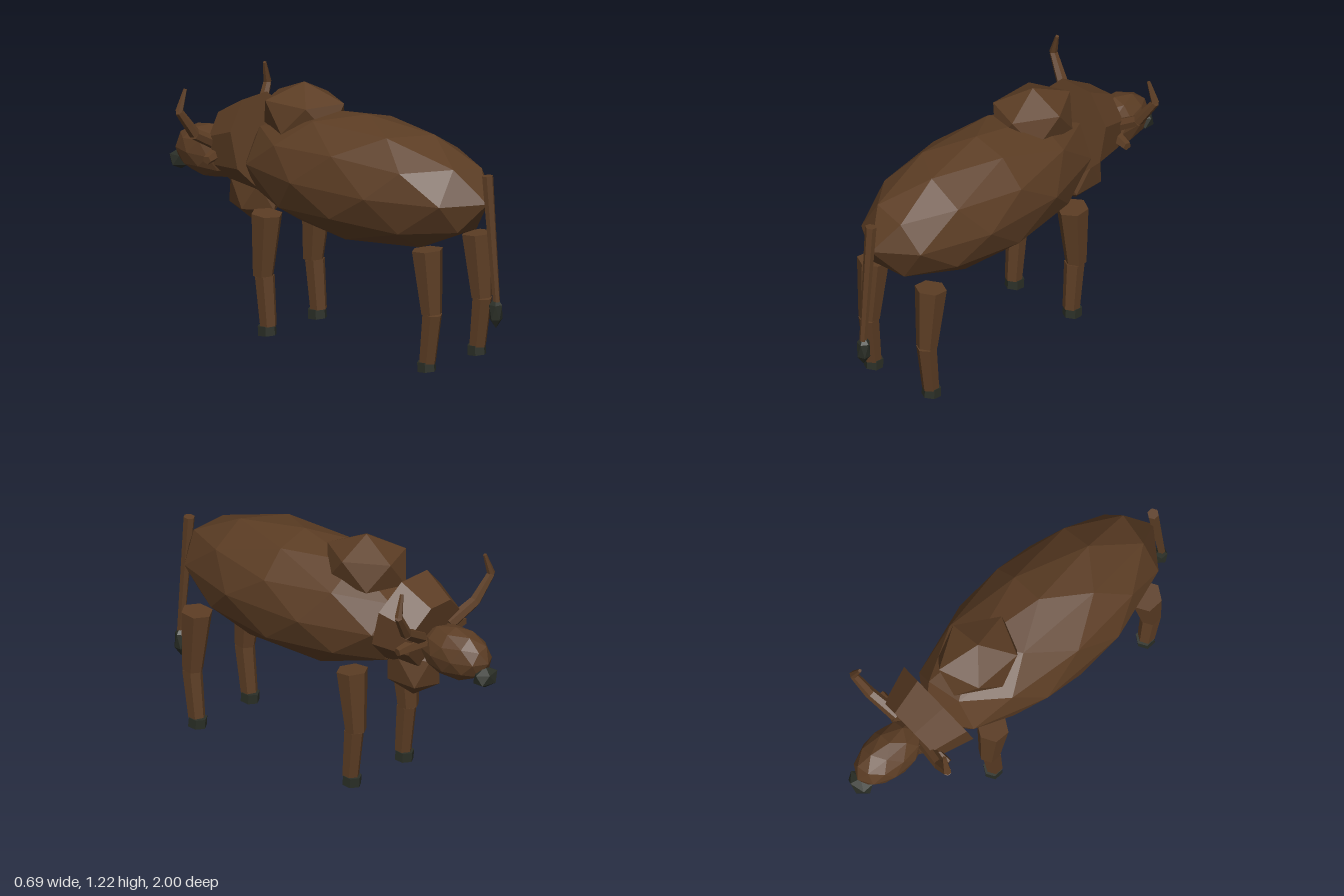
import * as THREE from 'three';

const V = (p) => new THREE.Vector3(...p);

export function createModel() {
  const model = new THREE.Group();
  const hide = new THREE.MeshStandardMaterial({ color: 0x5c3d24, flatShading: true });
  hide.name = 'brown hide';
  const horny = new THREE.MeshStandardMaterial({ color: 0x2a2e26, flatShading: true });
  horny.name = 'dark hoof';

  function add(name, geometry, material, parent = model) {
    const mesh = new THREE.Mesh(geometry, material);
    mesh.name = name;
    parent.add(mesh);
    return mesh;
  }

  // Faceted ball with a corner at the top, stretched to the given radii
  function ball(name, center, radii, detail, material = hide) {
    const g = new THREE.IcosahedronGeometry(1, detail);
    g.rotateX(-Math.atan2(0.85065, 0.52573));
    g.rotateY(Math.PI / 2);
    g.scale(...radii);
    g.translate(...center);
    return add(name, g, material);
  }

  // Tapered faceted limb from point a to point b
  function limb(name, a, b, ra, rb, sides, material = hide, parent = model, roll = 0) {
    const from = V(a), to = V(b);
    const dir = to.clone().sub(from);
    const g = new THREE.CylinderGeometry(rb, ra, dir.length(), sides, 1, false, roll);
    const mesh = add(name, g, material, parent);
    mesh.position.copy(from).add(to).multiplyScalar(0.5);
    mesh.quaternion.setFromUnitVectors(new THREE.Vector3(0, 1, 0), dir.normalize());
    return mesh;
  }

  // Trunk, hump and neck
  ball('body', [0, 0.818, 0.19], [0.326, 0.312, 0.73], 1);
  ball('hump', [0, 1.066, -0.2], [0.195, 0.154, 0.235], 0);
  limb('neck', [0, 0.882, -0.45], [0, 0.838, -0.63], 0.238, 0.18, 8, hide, model, Math.PI / 8);
  ball('dewlap', [0, 0.63, -0.495], [0.12, 0.153, 0.16], 0);

  // Head
  ball('head', [0, 0.78, -0.765], [0.118, 0.13, 0.205], 1);
  ball('muzzle', [0, 0.709, -0.95], [0.074, 0.054, 0.055], 0, horny);

  // Horns and ears
  const hornPath = [[0.1, 0.85, -0.63], [0.245, 0.93, -0.668], [0.33, 1.053, -0.695], [0.296, 1.16, -0.685]];
  const hornRadii = [0.034, 0.028, 0.02, 0.009];
  for (const s of [1, -1]) {
    const side = s > 0 ? 'left' : 'right';
    const flip = ([x, y, z]) => [x * s, y, z];
    const horn = new THREE.Group();
    horn.name = side + 'Horn';
    model.add(horn);
    for (let i = 0; i < 3; i++) {
      limb('hornSegment', flip(hornPath[i]), flip(hornPath[i + 1]), hornRadii[i], hornRadii[i + 1], 6, hide, horn);
    }
    limb(side + 'Ear', flip([0.08, 0.83, -0.63]), flip([0.235, 0.81, -0.603]), 0.04, 0.022, 5);

    // Legs: z at the shoulder or hip, above the knee, below the knee, ankle, hoof
    const legs = { Front: [-0.275, -0.298, -0.288, -0.266, -0.272], Rear: [0.705, 0.732, 0.735, 0.706, 0.702] };
    for (const [end, z] of Object.entries(legs)) {
      const leg = new THREE.Group();
      leg.name = side + end + 'Leg';
      model.add(leg);
      const x = 0.187 * s;
      limb('upperLeg', [x, 0.6, z[0]], [x, 0.29, z[1]], 0.078, 0.052, 6, hide, leg);
      limb('lowerLeg', [x, 0.29, z[2]], [x, 0.048, z[3]], 0.05, 0.042, 6, hide, leg);
      limb('hoof', [x, 0.003, z[4]], [x, 0.05, z[4] - 0.004], 0.047, 0.046, 6, horny, leg);
    }
  }

  // Tail with a dark tuft
  limb('tail', [0, 0.96, 0.92], [0, 0.35, 0.974], 0.028, 0.018, 6);
  ball('tailTuft', [0, 0.3, 0.97], [0.036, 0.08, 0.036], 0, horny);

  return model;
}
